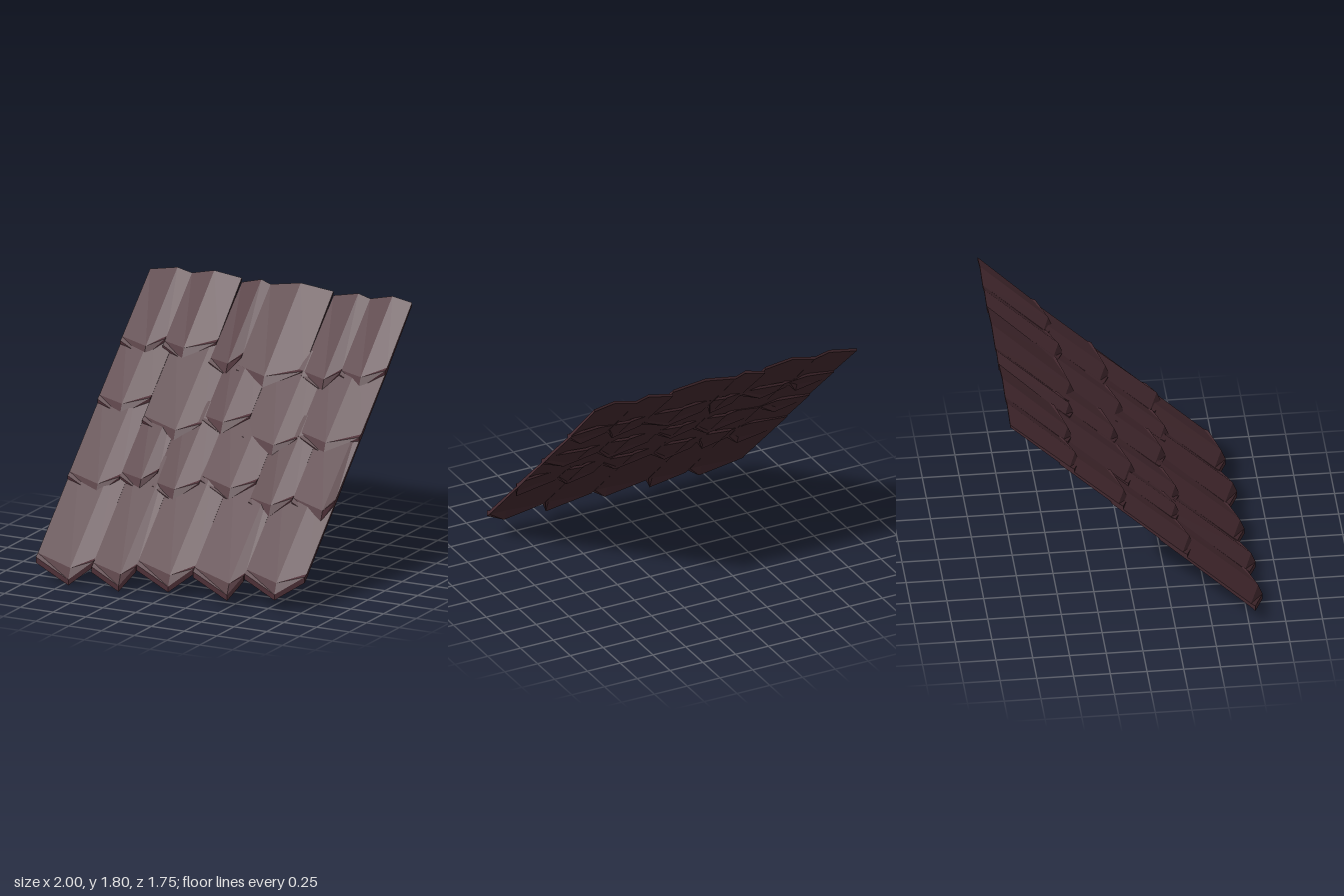
import * as THREE from 'three';

// The roof falls toward +z; a height c is measured at z = 0 and slides down this slope.
const SLOPE = 0.98;

// Heights at the left edge, ridge and right edge of a tile
const LOW_TOP = [0.915, 0.947, 0.911];
const LIP_BOTTOM = [0.882, 0.862, 0.886];
const COVERED_TOP = [0.892, 0.912, 0.897];
const EXPOSED_TOP = [0.888, 0.928, 0.903];

// Tiles run from left to right; each is its ridge x, right edge x and the z of its tip.
// Every second tile of a row is raised by lift at its upper end.
const ROWS = [
  { name: 'eaveTile', back: 0.14, top: COVERED_TOP, lift: 0, tiles: [
    [-0.71, -0.57, 0.875], [-0.33, -0.25, 0.87], [0.03, 0.175, 0.835],
    [0.48, 0.555, 0.835], [0.82, 1, 0.795]] },
  { name: 'lowerTile', back: -0.19, top: COVERED_TOP, lift: 0, tiles: [
    [-0.75, -0.62, 0.4], [-0.45, -0.36, 0.34], [-0.18, -0.03, 0.37],
    [0.22, 0.38, 0.32], [0.56, 0.69, 0.38], [0.95, 1, 0.37]] },
  { name: 'middleTile', back: -0.54, top: COVERED_TOP, lift: 0, tiles: [
    [-0.8, -0.62, -0.05], [-0.34, -0.18, 0.05], [-0.02, 0.15, -0.03],
    [0.41, 0.55, 0.055], [0.78, 1, 0]] },
  { name: 'topTile', back: -0.875, top: EXPOSED_TOP, lift: 0.015, tiles: [
    [-0.79, -0.68, -0.38], [-0.51, -0.3, -0.4], [-0.15, -0.08, -0.35],
    [0.15, 0.4, -0.31], [0.59, 0.68, -0.34], [0.85, 1, -0.38]] },
];

// A bent sheet with a lip folded down along its pointed lower edge, built from sections
// at the left edge, the ridge and the right edge. The lower edge slants gently left of
// the tip and steps back 0.1 on its right.
function tileGeometry(row, left, [ridge, right, tip], lift) {
  const xs = [left, ridge, right];
  const fronts = [tip - 0.28 * (ridge - left), tip, tip - 0.1];
  const sections = xs.map((x, s) => {
    const point = (z, c) => [x, c - SLOPE * z, z];
    const front = fronts[s], top = row.top[s] + lift;
    return [
      point(row.back, top),
      point(front - 0.03, LOW_TOP[s]),
      point(front, LIP_BOTTOM[s] + 0.04),
      point(front, LIP_BOTTOM[s]),
      point(front - 0.035, LOW_TOP[s] - 0.03),
      point(row.back, top - 0.02),
    ];
  });
  const positions = [];
  const quad = (a, b, c, d) => positions.push(...a, ...b, ...c, ...a, ...c, ...d);
  for (let s = 0; s < 2; s++) {
    for (let j = 0; j < 6; j++) {
      const k = (j + 1) % 6;
      quad(sections[s][j], sections[s][k], sections[s + 1][k], sections[s + 1][j]);
    }
  }
  // Side caps: the sheet, then the lip
  const [l, , r] = sections;
  quad(r[0], r[1], r[4], r[5]);
  quad(r[1], r[2], r[3], r[4]);
  quad(l[5], l[4], l[1], l[0]);
  quad(l[4], l[3], l[2], l[1]);
  const geometry = new THREE.BufferGeometry();
  geometry.setAttribute('position', new THREE.Float32BufferAttribute(positions, 3));
  geometry.computeVertexNormals();
  return geometry;
}

export function createModel() {
  const model = new THREE.Group();
  model.name = 'tiledRoofPanel';
  const clay = new THREE.MeshStandardMaterial({ color: 0x4d2f36 });
  clay.name = 'darkMaroonTile';

  // Overlapping rows from the eave up to the top edge
  for (const row of ROWS) {
    const group = new THREE.Group();
    group.name = row.name + 'Row';
    let left = -1;
    row.tiles.forEach((tile, i) => {
      const mesh = new THREE.Mesh(tileGeometry(row, left, tile, row.lift * (i % 2)), clay);
      mesh.name = row.name + (i + 1);
      group.add(mesh);
      left = tile[1];
    });
    model.add(group);
  }
  return model;
}
